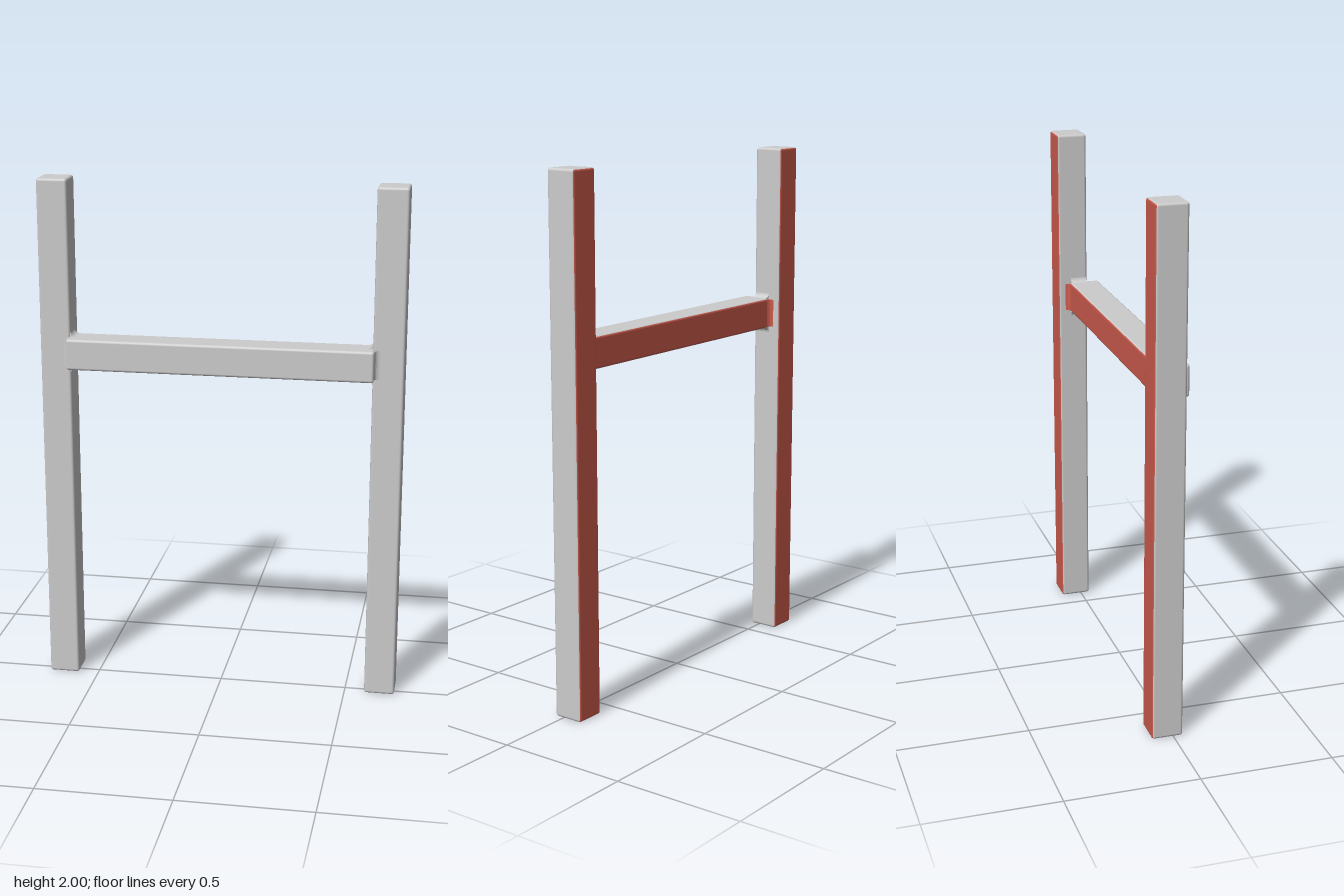
import * as THREE from 'three';
import { RoundedBoxGeometry } from 'three/addons/geometries/RoundedBoxGeometry.js';

export function createModel() {
  const model = new THREE.Group();
  model.name = 'frame';

  const grey = new THREE.MeshStandardMaterial({ color: 0xcccccc });
  grey.name = 'light grey';
  const red = new THREE.MeshStandardMaterial({ color: 0xcc5b4d });
  red.name = 'brick red';
  // Face order: +x, -x, +y, -y, +z, -z; only the back is red
  const redBack = [grey, grey, grey, grey, grey, red];

  function beam(name, w, h, d, x, y, z) {
    const mesh = new THREE.Mesh(new RoundedBoxGeometry(w, h, d, 2, 0.01), redBack);
    mesh.name = name;
    mesh.position.set(x, y, z);
    model.add(mesh);
  }

  const postX = 0.578, railEnd = 0.586;      // inner post face, end of rail
  const postFront = 0.0355, railBack = -0.0375;
  const railLow = 1.278, railHigh = 1.398, railY = (railLow + railHigh) / 2;

  beam('leftPost', 0.118, 2, 0.118, 0.637, 1, -0.0235);
  beam('rightPost', 0.118, 2, 0.118, -0.637, 1, -0.0235);
  beam('crossRail', railEnd * 2, railHigh - railLow, 0.12, 0, railY, 0.0225);

  // Concave weld strip filling the inner corner between two faces
  const r = 0.018, sink = -0.008;
  const profile = new THREE.Shape();
  profile.moveTo(sink, sink);
  profile.lineTo(r, sink);
  profile.lineTo(r, 0);
  profile.quadraticCurveTo(0.003, 0.003, 0, r);
  profile.lineTo(sink, r);
  profile.closePath();

  function weld(name, length, quarterTurns, upright, material, x, y, z) {
    const geo = new THREE.ExtrudeGeometry(profile, { depth: length, bevelEnabled: false, curveSegments: 4 });
    geo.translate(0, 0, -length / 2);
    geo.rotateZ(quarterTurns * Math.PI / 2);
    if (upright) geo.rotateX(-Math.PI / 2);
    const mesh = new THREE.Mesh(geo, material);
    mesh.name = name;
    mesh.position.set(x, y, z);
    model.add(mesh);
  }

  // Welds above, below, behind and in front of each joint
  const depth = postFront - railBack - 0.01, midZ = (postFront + railBack) / 2;
  const height = railHigh - railLow - 0.01;
  for (const s of [1, -1]) {
    const side = s > 0 ? 'left' : 'right';
    weld(side + 'TopWeld', depth, s > 0 ? 1 : 0, false, grey, s * postX, railHigh, midZ);
    weld(side + 'BottomWeld', depth, s > 0 ? 2 : 3, false, grey, s * postX, railLow, midZ);
    weld(side + 'BackWeld', height, s > 0 ? 1 : 0, true, red, s * postX, railY, railBack);
    weld(side + 'FrontWeld', height, s > 0 ? 3 : 2, true, grey, s * railEnd, railY, postFront);
  }
  return model;
}
